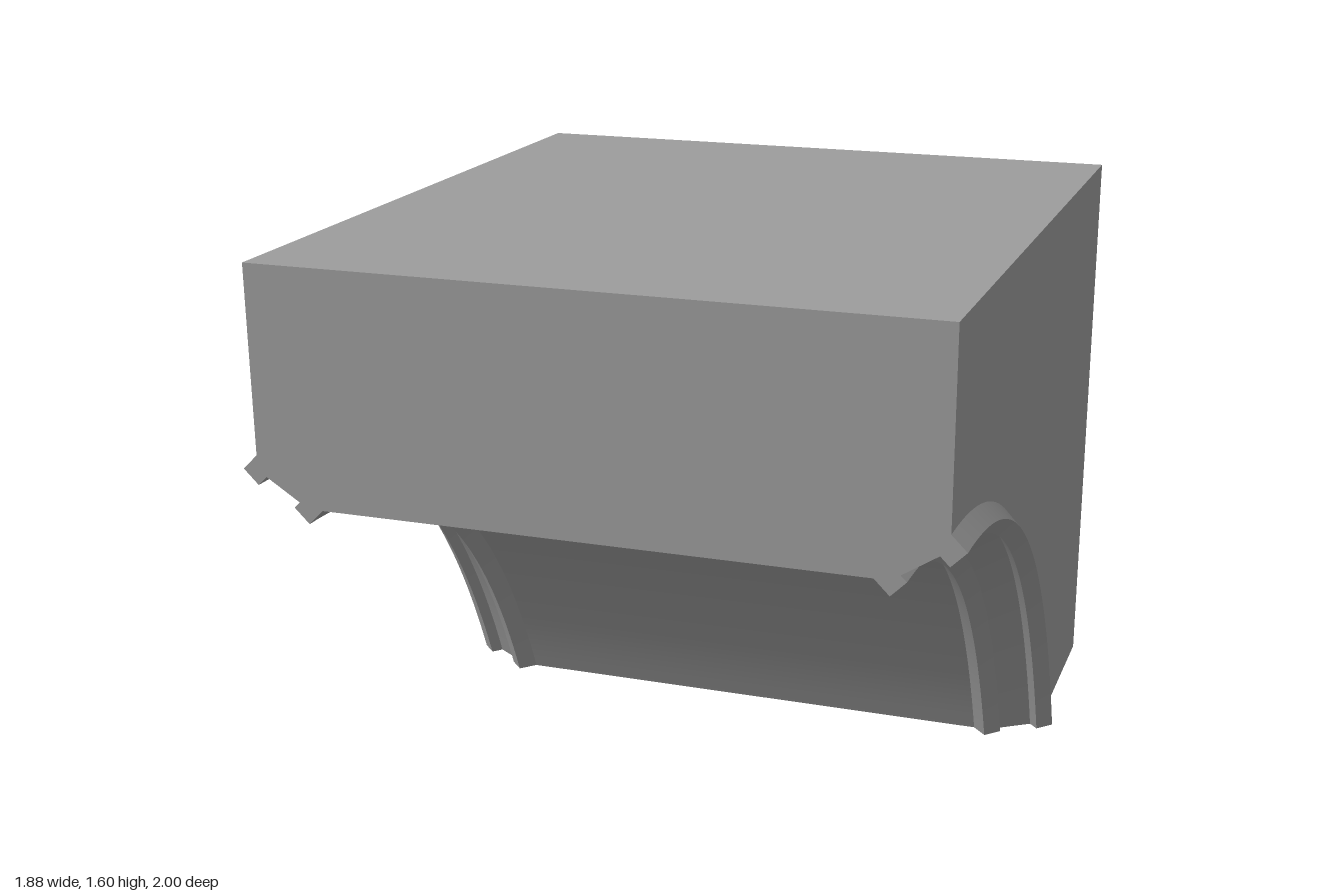
import * as THREE from 'three';
import { mergeGeometries } from 'three/addons/utils/BufferGeometryUtils.js';

const STEPS = 40;
const material = new THREE.MeshStandardMaterial({ color: 0x9d9d9d });

// Point on the arch curve whose crown is at height y; t runs from crown (0) to ground (1).
// Each curve is a quadratic Bezier, level at the crown and about 66 degrees steep at the ground.
function arcPoint([x, y], t) {
  const end = -0.29 - (y - 0.97) * 1.06;
  const mid = end + y / 2.3;
  const z = (1 - t) ** 2 + 2 * t * (1 - t) * mid + t * t * end;
  return new THREE.Vector3(x, y * (1 - t * t), z);
}

// Sweep section edges along the arch: smooth along the curve, sharp between edges
function sweep(section, closed) {
  const strips = [];
  const count = closed ? section.length : section.length - 1;
  for (let i = 0; i < count; i++) {
    const pair = [section[i], section[(i + 1) % section.length]];
    const points = [], index = [];
    for (let s = 0; s <= STEPS; s++) {
      pair.forEach((p) => points.push(arcPoint(p, s / STEPS)));
      const k = s * 2;
      if (s < STEPS) index.push(k, k + 2, k + 1, k + 1, k + 2, k + 3);
    }
    const g = new THREE.BufferGeometry().setFromPoints(points);
    g.setIndex(index);
    g.computeVertexNormals();
    strips.push(g.toNonIndexed());
  }
  return strips;
}

// Flat polygon facing along an axis ('x', 'y' or 'z') with the given sign
function face(points, axis, sign) {
  const [u, v] = { x: ['y', 'z'], y: ['z', 'x'], z: ['x', 'y'] }[axis];
  const flatten = (list) => list.map((p) => new THREE.Vector2(p[u], p[v]));
  const loop = THREE.ShapeUtils.area(flatten(points)) < 0 ? [...points].reverse() : points;
  const corners = [];
  for (const [a, b, c] of THREE.ShapeUtils.triangulateShape(flatten(loop), [])) {
    const order = sign > 0 ? [a, b, c] : [a, c, b];
    corners.push(...order.map((i) => loop[i]));
  }
  const g = new THREE.BufferGeometry().setFromPoints(corners);
  g.computeVertexNormals();
  return g;
}

function mesh(name, parts) {
  const m = new THREE.Mesh(mergeGeometries(parts), material);
  m.name = name;
  return m;
}

// Solid block with a chamfered, curved soffit
function archBlock() {
  const W = 0.9, H = 1.6;
  const P = (x, y, z) => new THREE.Vector3(x, y, z);
  const soffit = [[-W, 1.06], [-0.76, 0.97], [0.76, 0.97], [W, 1.06]];
  const parts = sweep(soffit, false);

  parts.push(face([P(-W, H, -1), P(W, H, -1), P(W, H, 1), P(-W, H, 1)], 'y', 1));
  parts.push(face([P(-W, 0, -1), P(W, 0, -1), P(W, H, -1), P(-W, H, -1)], 'z', -1));
  parts.push(face([...soffit.map((p) => arcPoint(p, 0)), P(W, H, 1), P(-W, H, 1)], 'z', 1));
  parts.push(face([...soffit.map((p) => arcPoint(p, 1)), P(W, 0, -1), P(-W, 0, -1)], 'y', -1));

  for (const side of [-1, 1]) {
    const x = side * W;
    const arc = [];
    for (let s = 0; s <= STEPS; s++) arc.push(arcPoint([x, 1.06], s / STEPS));
    parts.push(face([...arc, P(x, 0, -1), P(x, H, -1), P(x, H, 1)], 'x', side));
  }
  return mesh('archBlock', parts);
}

// Diamond-section moulding following the arch
function moulding(name, x, y) {
  const r = 0.04;
  const section = [[x - r, y], [x, y - r], [x + r, y], [x, y + r]];
  return mesh(name, [
    ...sweep(section, true),
    face(section.map((p) => arcPoint(p, 0)), 'z', 1),
    face(section.map((p) => arcPoint(p, 1)), 'y', -1),
  ]);
}

export function createModel() {
  const group = new THREE.Group();
  group.name = 'halfArch';
  group.add(archBlock());
  for (const [side, s] of [['left', 1], ['right', -1]]) {
    group.add(moulding(side + 'OuterMoulding', s * 0.9, 1.06));
    group.add(moulding(side + 'InnerMoulding', s * 0.76, 0.97));
  }
  return group;
}
